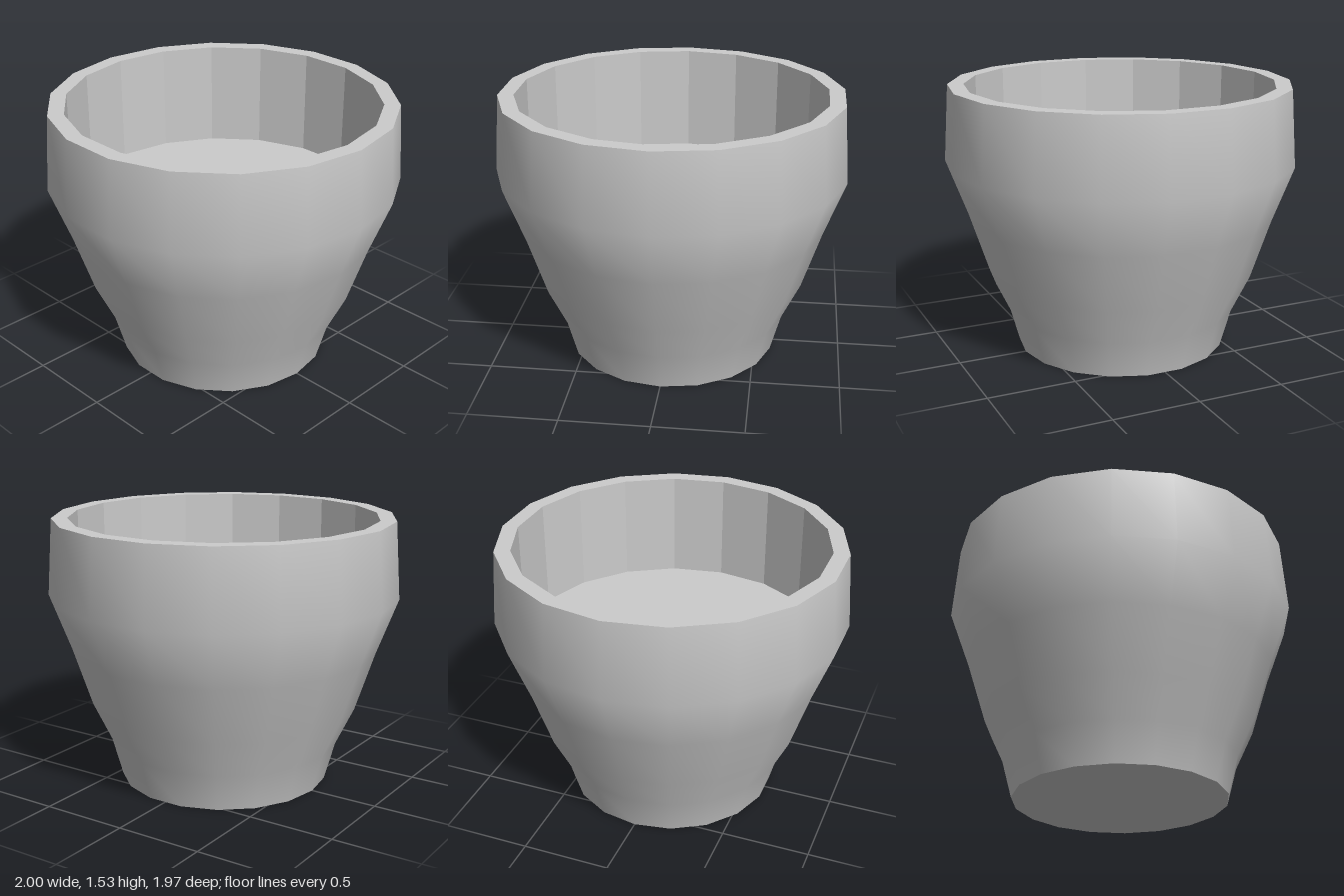
import * as THREE from 'three';

const SIDES = 18;
const RIM_Y = 1.535, FLOOR_Y = 0.92;
const INNER_R = 0.88, RIM_R = 0.97, BASE_R = 0.605;

export function createModel() {
  const group = new THREE.Group();
  group.name = 'pot';
  const smooth = new THREE.MeshStandardMaterial({ color: 0xcccccc });
  const flat = new THREE.MeshStandardMaterial({ color: 0xcccccc, flatShading: true });

  const add = (name, geometry, material) => {
    const mesh = new THREE.Mesh(geometry, material);
    mesh.name = name;
    group.add(mesh);
  };
  // Revolve a profile of [radius, height]; corners start on the x axis
  const revolve = (profile) => new THREE.LatheGeometry(
    profile.map(([r, y]) => new THREE.Vector2(r, y)), SIDES, Math.PI / 2);
  // Lay a flat disc or ring level at a height, facing up or down
  const level = (geometry, y, up = true) =>
    geometry.rotateX(up ? -Math.PI / 2 : Math.PI / 2).translate(0, y, 0);

  // Smooth outer wall, from foot to rim
  add('outerWall', revolve([
    [BASE_R, 0], [0.665, 0.22], [0.77, 0.44], [0.88, 0.78], [1, 1.1], [RIM_R, RIM_Y],
  ]), smooth);

  // Faceted inner wall, profiled downwards so that it faces inwards
  add('innerWall', revolve([[INNER_R, RIM_Y], [INNER_R, FLOOR_Y]]), flat);

  // Flat surfaces
  add('rim', level(new THREE.RingGeometry(INNER_R, RIM_R, SIDES), RIM_Y), flat);
  add('innerFloor', level(new THREE.CircleGeometry(INNER_R, SIDES), FLOOR_Y), flat);
  add('base', level(new THREE.CircleGeometry(BASE_R, SIDES), 0, false), flat);

  return group;
}
